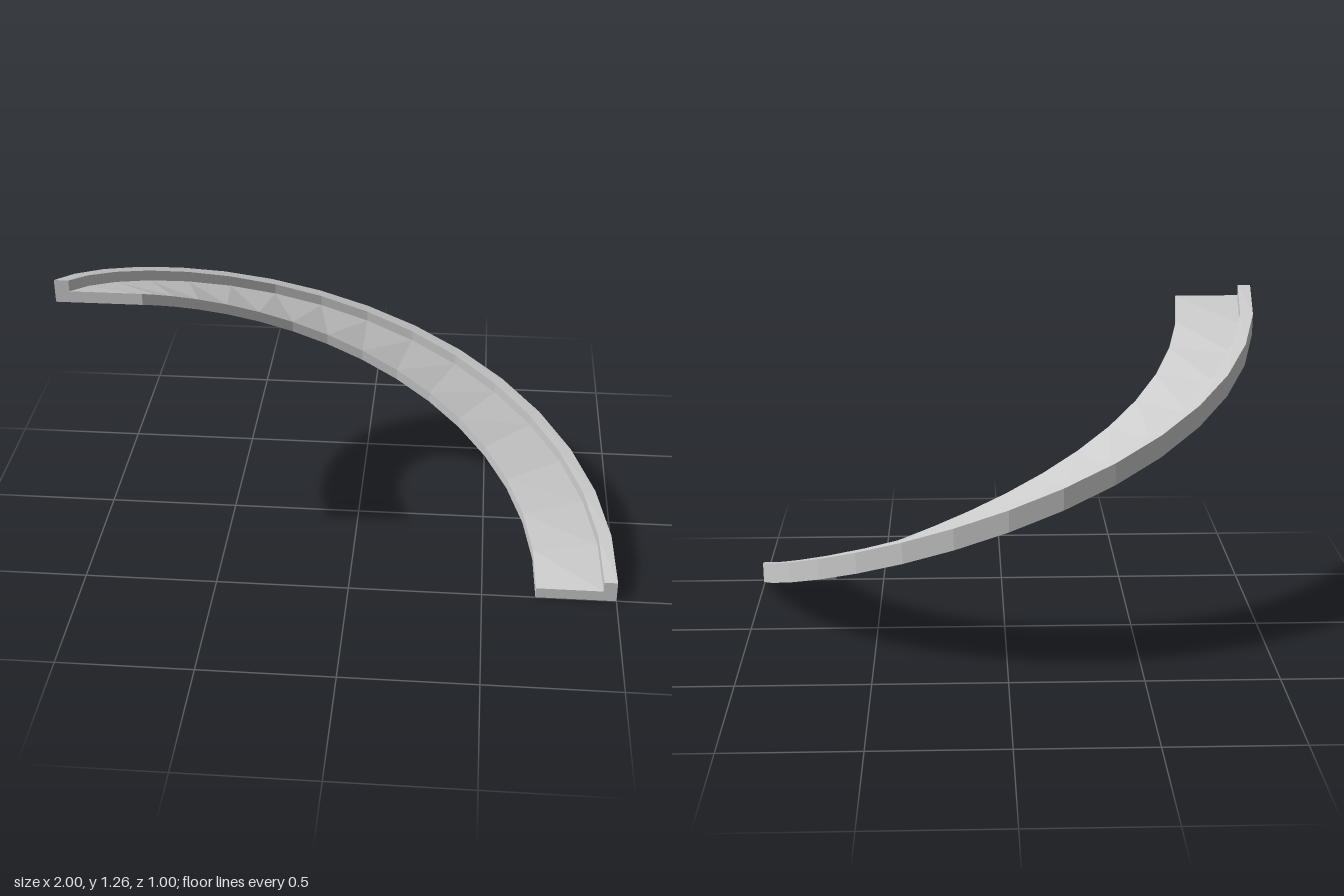
import * as THREE from 'three';

const SEGMENTS = 16;
const RISE = 1.175;
const CENTRE_Z = 0.5;

// L-shaped cross-section (radius, height), counter-clockwise
const SECTION = [
  [0.7, 0], [1, 0], [1, 0.083], [0.95, 0.083], [0.95, 0.042], [0.7, 0.042],
];

// Section point i carried along the climbing half turn
function pointAt(i, step) {
  const t = step / SEGMENTS;
  const a = Math.PI * t;
  const [r, y] = SECTION[i];
  return [r * Math.cos(a), y + RISE * t, CENTRE_Z - r * Math.sin(a)];
}

function createRampGeometry() {
  const positions = [];
  const quad = (a, b, c, d) => positions.push(...a, ...b, ...c, ...a, ...c, ...d);
  const n = SECTION.length;

  // Swept faces
  for (let s = 0; s < SEGMENTS; s++) {
    for (let i = 0; i < n; i++) {
      const j = (i + 1) % n;
      quad(pointAt(i, s), pointAt(i, s + 1), pointAt(j, s + 1), pointAt(j, s));
    }
  }

  // End caps: floor slab and outer lip
  for (const corners of [[0, 1, 4, 5], [1, 2, 3, 4]]) {
    quad(...corners.map((i) => pointAt(i, 0)));
    quad(...corners.map((i) => pointAt(i, SEGMENTS)).reverse());
  }

  const geometry = new THREE.BufferGeometry();
  geometry.setAttribute('position', new THREE.Float32BufferAttribute(positions, 3));
  geometry.computeVertexNormals();
  return geometry;
}

export function createModel() {
  const group = new THREE.Group();
  group.name = 'curvedRamp';

  // Half-turn ramp with a raised outer lip
  const material = new THREE.MeshStandardMaterial({ color: 0xcccccc, flatShading: true });
  const ramp = new THREE.Mesh(createRampGeometry(), material);
  ramp.name = 'rampWithOuterLip';
  group.add(ramp);

  return group;
}
